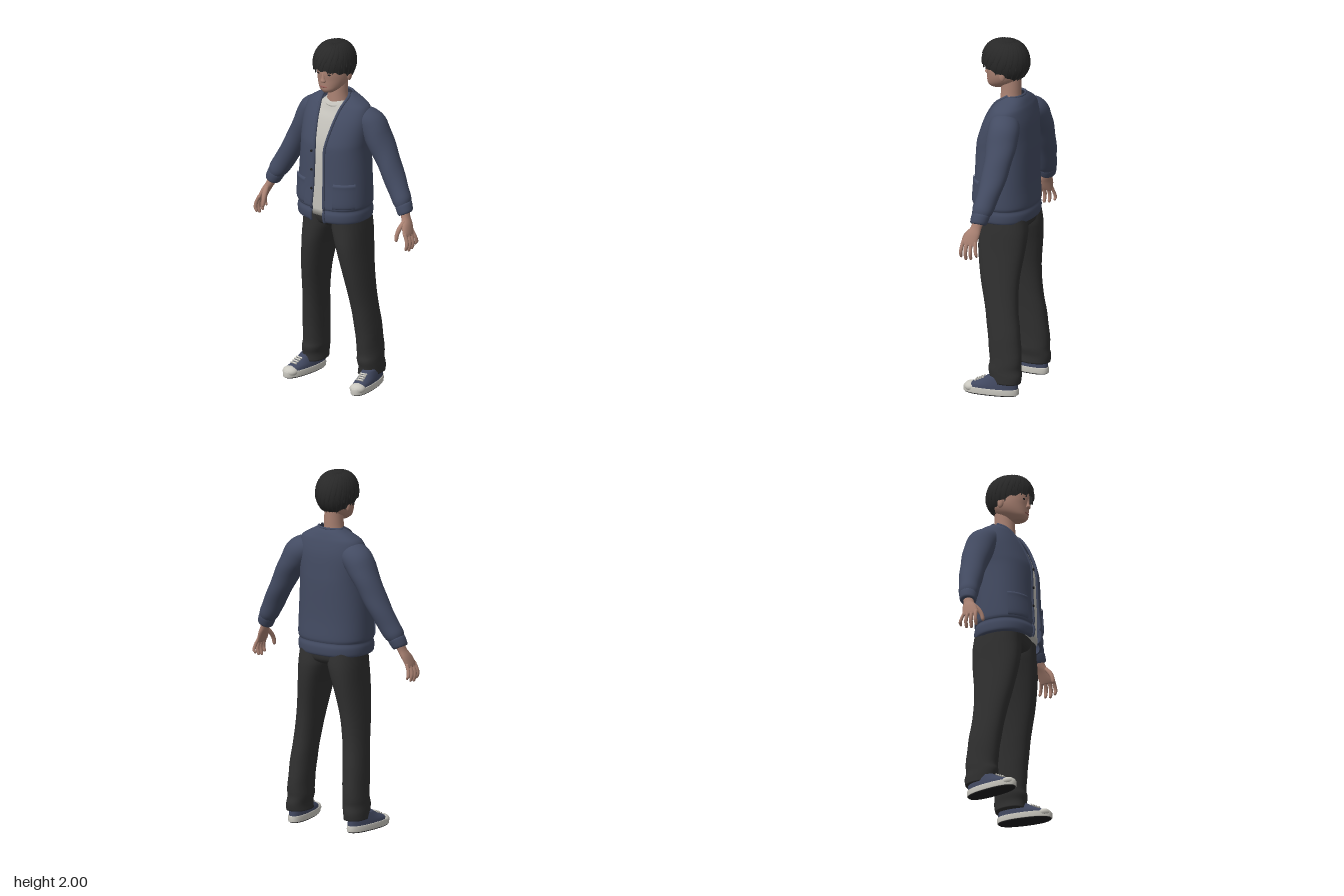
import * as THREE from 'three';
import { mergeGeometries } from 'three/addons/utils/BufferGeometryUtils.js';

const mat = (name, color, side = THREE.FrontSide) => {
  const m = new THREE.MeshStandardMaterial({ color, side });
  m.name = name;
  return m;
};

// Surface from a rule fn(u, v) -> [x, y, z]; v runs downward
function grid(nu, nv, fn, closed) {
  const w = closed ? nu : nu + 1, pos = [], idx = [];
  for (let j = 0; j <= nv; j++)
    for (let i = 0; i < w; i++) pos.push(...fn(i / nu, j / nv, j));
  for (let j = 0; j < nv; j++)
    for (let i = 0; i < nu; i++) {
      const a = j * w + i, b = j * w + (i + 1) % w, c = a + w, d = b + w;
      idx.push(a, b, c, b, d, c);
    }
  const g = new THREE.BufferGeometry();
  g.setAttribute('position', new THREE.Float32BufferAttribute(pos, 3));
  g.setIndex(idx);
  g.computeVertexNormals();
  return g;
}

// Catmull-Rom interpolation of section rows
function smooth(rows, k = 4) {
  const out = [], at = i => rows[Math.max(0, Math.min(rows.length - 1, i))];
  for (let i = 0; i < rows.length - 1; i++)
    for (let s = 0; s < k; s++) {
      const t = s / k, [p, q, r, e] = [at(i - 1), at(i), at(i + 1), at(i + 2)];
      out.push(q.map((b, c) => b + 0.5 * t * (r[c] - p[c] + t * (2 * p[c] - 5 * b + 4 * r[c] - e[c]
        + t * (3 * (b - r[c]) + e[c] - p[c])))));
    }
  out.push(rows[rows.length - 1]);
  return out;
}

const spow = (v, p) => Math.sign(v) * Math.abs(v) ** p;
// Section row: [x, y, z, radius across, radius in z, tilt, half width of front opening]
function ringPoint([x, y, z, ru, rz, tilt], a, p) {
  const u = ru * spow(Math.cos(a), p);
  return [x + u * Math.cos(tilt), y + u * Math.sin(tilt), z + rz * spow(Math.sin(a), p)];
}
const startAngle = (r, p) => Math.asin(Math.min(1, r[6] / r[3]) ** (1 / p));

// Skin through rows listed from top to bottom
function loft(rows, { n = 32, p = 1, k = 4, mode = 'closed', span, fold } = {}) {
  let rs = smooth(rows, k);
  if (mode === 'closed') {
    const shut = r => r.map((v, i) => (i === 3 || i === 4 ? 1e-4 : v));
    rs = [shut(rs[0]), ...rs, shut(rs[rs.length - 1])];
  }
  return grid(n, rs.length - 1, (u, v, j) => {
    const r = rs[j];
    let a = u * Math.PI * 2;
    if (mode === 'open') {
      const s = startAngle(r, p);
      a = Math.PI / 2 + s + u * (Math.PI * 2 - 2 * s);
    } else if (mode === 'span') a = span[0] + u * (span[1] - span[0]);
    const f = fold ? 1 + fold(a, r[1]) : 1;
    return ringPoint([r[0], r[1], r[2], r[3] * f, r[4] * f, r[5]], a, p);
  }, mode === 'closed');
}
const body = rows => rows.map(([y, rx, zf, zb, w = 0]) => [0, y, (zf + zb) / 2, rx, (zf - zb) / 2, 0, w]);

function mirror(g) {
  const m = g.clone().scale(-1, 1, 1), ix = m.index.array;
  for (let i = 0; i < ix.length; i += 3) [ix[i], ix[i + 1]] = [ix[i + 1], ix[i]];
  return m;
}
const ball = (x, y, z, a, b, c) => new THREE.SphereGeometry(1, 20, 14).scale(a, b, c).translate(x, y, z);

// Hair surface: azimuth a, t from crown to the lower edge
function hairPoint(a, t, lift) {
  const f = Math.sin(a);
  const end = (f > 0 ? 2.06 - 0.32 * f : 2.06 - 0.55 * f) + 0.05 * Math.sin(a * 13);
  const phi = t * end, r = Math.max(0, Math.sin(phi)) ** 0.75;
  return [(0.108 + lift) * r * Math.cos(a), 1.877 + (0.117 + lift) * Math.cos(phi), 0.008 + (0.134 + lift) * r * f];
}

export function createModel() {
  const root = new THREE.Group();
  root.name = 'standingMan';
  const both = THREE.DoubleSide;
  const skin = mat('skin', 0xa98172), hairM = mat('hair', 0x282828, both), lips = mat('lips', 0x955f58);
  const navy = mat('navyKnit', 0x434b62, both), shirt = mat('lightCotton', 0xc4c2bb), trouser = mat('charcoal', 0x303030);
  const canvas = mat('blueCanvas', 0x414860), rubber = mat('whiteRubber', 0xcac8c0), black = mat('black', 0x1d1d1f);
  const add = (name, g, m) => {
    const mesh = new THREE.Mesh(g, m);
    mesh.name = name;
    root.add(mesh);
  };
  const pair = (name, g, m) => { add(name + 'Left', g, m); add(name + 'Right', mirror(g), m); };

  // Head and neck
  add('head', loft(body([[1.95, .06, .08, -.07], [1.9, .085, .113, -.095], [1.84, .088, .12, -.1], [1.8, .086, .116, -.09],
    [1.765, .074, .115, -.06], [1.738, .054, .113, -.01], [1.72, .03, .1, .02]])), skin);
  add('neck', loft(body([[1.8, .05, .03, -.08], [1.73, .052, .032, -.08], [1.68, .056, .035, -.08], [1.61, .07, .04, -.085]])), skin);
  add('nose', loft([[0, 1.845, .108, .008, .012, 0], [0, 1.81, .114, .011, .014, 0], [0, 1.793, .117, .017, .016, 0],
    [0, 1.784, .112, .012, .008, 0]], { n: 14 }), skin);
  add('mouth', ball(0, 1.757, .112, .024, .006, .006), lips);
  pair('ear', ball(.088, 1.81, -.008, .011, .03, .018), skin);
  pair('eye', ball(.034, 1.832, .11, .013, .005, .004), black);

  // Hair cap and overlapping locks
  add('hairCap', grid(72, 16, (u, v) => hairPoint(u * Math.PI * 2, v, 0), true), hairM);
  const locks = [];
  for (let i = 0; i < 48; i++) {
    const tier = i % 2, a0 = i / 48 * Math.PI * 2, len = (tier ? 0.78 : 1.02) + 0.05 * Math.sin(i * 2.4);
    locks.push(grid(2, 8, (u, v) => {
      const k = u * 2 - 1, t = 0.08 + v * (len - 0.08);
      return hairPoint(a0 + 0.3 * (v - 0.5) + k * 0.17 * (1.02 - v ** 3), t, k ? -0.003 : 0.006 - 0.003 * (1 - v));
    }));
  }
  add('hairLocks', mergeGeometries(locks), hairM);

  // Shirt
  add('shirt', loft(body([[1.655, .07, .03, -.09], [1.64, .085, .043, -.1], [1.6, .13, .06, -.12], [1.55, .17, .088, -.14],
    [1.45, .18, .124, -.148], [1.35, .178, .138, -.148], [1.2, .175, .143, -.145], [1.01, .175, .145, -.145]]), { p: .85 }), shirt);
  add('shirtCollar', new THREE.TorusGeometry(.066, .008, 8, 36).rotateX(Math.PI / 2 + .3).translate(0, 1.648, -.018), shirt);

  // Cardigan body with open front
  const coat = body([[1.692, .076, -.01, -.1, .07], [1.675, .105, .012, -.115, .081], [1.65, .152, .037, -.128, .077],
    [1.62, .188, .06, -.14, .069], [1.55, .204, .102, -.157, .056], [1.45, .201, .143, -.165, .04], [1.38, .199, .156, -.168, .033],
    [1.2, .209, .163, -.167, .036], [1.09, .213, .172, -.172, .041], [1.065, .21, .172, -.17, .042], [1.055, .205, .168, -.167, .042],
    [1.03, .21, .176, -.174, .043], [.99, .207, .172, -.17, .045], [.98, .192, .155, -.155, .047]]);
  add('cardigan', loft(coat, { n: 56, p: .85, mode: 'open' }), navy);
  const edge = smooth(coat).slice(0, -3).map(r =>
    new THREE.Vector3(...ringPoint(r, Math.PI / 2 - startAngle(r, .85), .85)));
  pair('frontBand', new THREE.TubeGeometry(new THREE.CatmullRomCurve3(edge), 70, .008, 8), navy);
  add('neckBand', new THREE.TubeGeometry(new THREE.CatmullRomCurve3(
    Array.from({ length: 13 }, (_, i) => {
      const a = Math.PI * (1 + i / 12);
      return new THREE.Vector3(.076 * Math.cos(a), 1.69, -.052 + .048 * Math.sin(a));
    })), 30, .007, 8), navy);
  const buttons = [1.39, 1.28, 1.17, 1.03].map(y =>
    new THREE.CylinderGeometry(.007, .007, .006, 12).rotateX(Math.PI / 2).translate(-.041, y, .171));
  add('buttons', mergeGeometries(buttons), black);
  // Patch pockets following the cardigan surface
  pair('pocket', loft(body([[1.215, .21, .163, -.167], [1.205, .217, .172, -.172], [1.18, .217, .172, -.172],
    [1.09, .218, .178, -.176], [1.07, .211, .171, -.17]]), { n: 14, p: .85, mode: 'span', span: [.46, 1.18] }), navy);

  // Sleeves, cuffs
  pair('sleeve', loft([[.11, 1.575, -.05, .06, .07, 1], [.15, 1.56, -.058, .075, .085, .85], [.195, 1.525, -.068, .083, .088, .62],
    [.245, 1.447, -.073, .072, .084, .52], [.295, 1.355, -.073, .064, .075, .52], [.34, 1.272, -.066, .06, .068, .52],
    [.385, 1.19, -.055, .056, .06, .5], [.416, 1.138, -.046, .054, .056, .48], [.43, 1.112, -.041, .043, .048, .46]],
    { fold: (a, y) => y < 1.5 ? .02 * Math.sin(2 * a + y * 38) : 0 }), navy);
  pair('cuff', loft([[.425, 1.122, -.042, .042, .046, .45], [.431, 1.112, -.041, .047, .051, .45], [.446, 1.078, -.035, .043, .047, .42],
    [.449, 1.068, -.033, .036, .04, .42]]), navy);

  // Hands
  const hand = [loft([[.443, 1.09, -.035, .025, .032, .4], [.457, 1.05, -.025, .022, .031, .35], [.475, 1.015, -.012, .02, .042, .3],
    [.491, .975, 0, .016, .046, .2], [.497, .957, 0, .012, .042, .15]], { n: 20 })];
  [[-.036, .895, -.05, .0095], [-.012, .878, -.016, .0105], [.012, .873, .014, .011], [.035, .885, .042, .0105]].forEach(([z, tip, zt, r]) => {
    hand.push(loft([[.491, .98, z, r, r, .2], [.507, .945, (z + zt) / 2, r, r, .1], [.513, .915, zt, r * .95, r * .95, 0],
      [.506, tip + .008, zt, r * .8, r * .8, -.2], [.504, tip, zt, r * .4, r * .4, -.2]], { n: 10 }));
  });
  hand.push(loft([[.465, 1.04, .0, .013, .014, .2], [.458, 1.005, .03, .014, .016, 0], [.452, .97, .05, .012, .012, 0],
    [.451, .94, .057, .01, .01, 0], [.452, .93, .058, .004, .004, 0]], { n: 12 }));
  pair('hand', mergeGeometries(hand), skin);

  // Trousers
  add('trouserWaist', loft(body([[1.08, .18, .115, -.15], [1.0, .185, .115, -.158], [.95, .16, .1, -.15], [.925, .08, .06, -.11]]), { p: .85 }), trouser);
  const leg = [[1.03, .002, .18, .112, -.15], [.94, .002, .188, .115, -.163], [.88, .018, .191, .117, -.163], [.8, .043, .195, .114, -.155],
    [.65, .078, .207, .09, -.136], [.5, .1, .22, .056, -.136], [.35, .114, .235, .032, -.155], [.2, .122, .243, .016, -.168],
    [.15, .123, .246, .022, -.166], [.11, .129, .25, .012, -.17], [.07, .127, .25, .012, -.165]]
    .map(([y, i, o, f, b]) => [(i + o) / 2, y, (f + b) / 2, (o - i) / 2, (f - b) / 2, 0]);
  pair('trouserLeg', loft(leg, { p: .88, fold: (a, y) => y < .6 ? .022 * Math.sin(2 * a + y * 45) * (1 - y / .6) : 0 }), trouser);

  // Shoes
  const place = g => g.rotateY(.14).translate(.212, 0, 0);
  const shoe = (name, rows, m) => pair(name, place(loft(body(rows), { p: .85, k: 2 })), m);
  shoe('shoeUpper', [[.105, .036, .02, -.14], [.085, .041, .05, -.15], [.066, .045, .09, -.152], [.05, .048, .138, -.154], [.03, .05, .148, -.155]], canvas);
  shoe('shoeSole', [[.039, .05, .15, -.155], [.036, .053, .155, -.159], [.008, .053, .155, -.159], [.006, .051, .152, -.156]], rubber);
  shoe('shoeTread', [[.008, .05, .15, -.154], [.004, .05, .15, -.154], [0, .048, .146, -.15]], black);
  pair('toeCap', place(ball(0, .032, .11, .045, .03, .042)), rubber);
  const laces = [[.084, .073], [.069, .08], [.055, .087], [.041, .093]].map(([z, y]) =>
    new THREE.BoxGeometry(.044, .007, .008).rotateX(.5).translate(0, y, z));
  pair('laces', place(mergeGeometries(laces)), rubber);

  return root;
}
